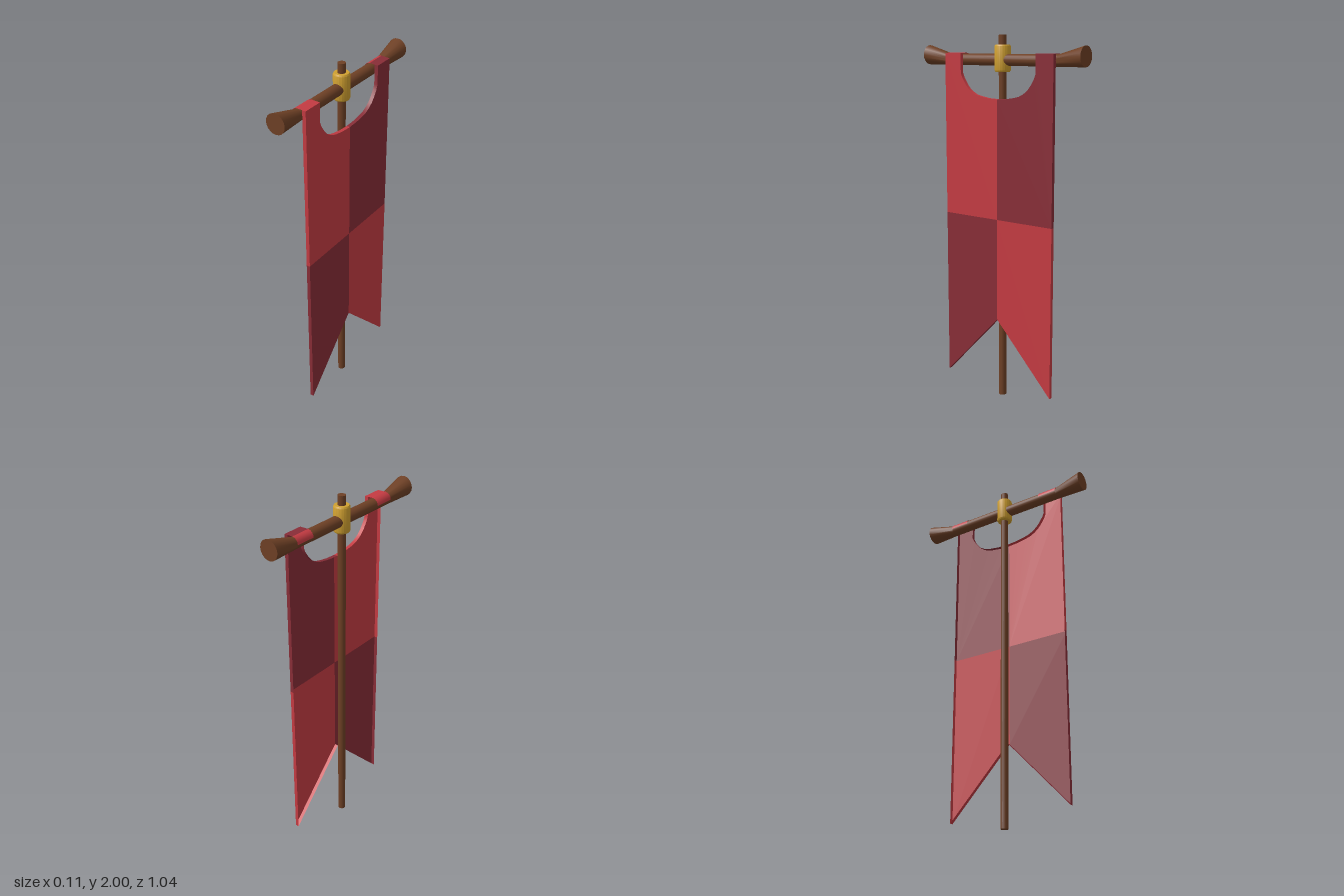
import * as THREE from 'three';
import { toCreasedNormals } from 'three/addons/utils/BufferGeometryUtils.js';

const material = (name, color, side = THREE.FrontSide) => {
  const m = new THREE.MeshStandardMaterial({ color, side });
  m.name = name;
  return m;
};

// Ribbon swept between two matching rows of points
function ribbon(rowA, rowB) {
  const position = [], index = [];
  rowA.forEach((a, i) => {
    position.push(...a, ...rowB[i]);
    if (i > 0) {
      const k = 2 * i;
      index.push(k - 2, k - 1, k, k, k - 1, k + 1);
    }
  });
  const g = new THREE.BufferGeometry();
  g.setAttribute('position', new THREE.Float32BufferAttribute(position, 3));
  g.setIndex(index);
  return toCreasedNormals(g, 0.6);
}

export function createModel() {
  const group = new THREE.Group();
  const wood = material('brown wood', 0x6e4025);
  const gold = material('gold', 0xd0a030);
  const red = material('red cloth', 0xc43b42, THREE.DoubleSide);
  const dark = material('dark red cloth', 0x882d37, THREE.DoubleSide);

  const add = (name, geometry, mat, parent = group) => {
    const mesh = new THREE.Mesh(geometry, mat);
    mesh.name = name;
    parent.add(mesh);
    return mesh;
  };

  // Upright pole
  add('pole', new THREE.CylinderGeometry(0.021, 0.021, 2, 16), wood).position.y = 1;

  // Crossbar with ends that flare upwards
  const barY = 1.872, barR = 0.031, endR = 0.053, flare = 0.16;
  const bar = add('crossbar', new THREE.CylinderGeometry(barR, barR, 0.72, 20, 1, true), wood);
  bar.rotation.x = Math.PI / 2;
  bar.position.y = barY;
  for (const s of [1, -1]) {
    const g = new THREE.CylinderGeometry(endR, barR, flare, 20);
    g.rotateX(s * Math.PI / 2);
    const p = g.attributes.position;
    for (let i = 0; i < p.count; i++) {
      const t = s * p.getZ(i) / flare + 0.5;
      p.setY(i, p.getY(i) + t * (endR - barR));
    }
    g.computeVertexNormals();
    add('crossbarEnd', toCreasedNormals(g, 0.7), wood).position.set(0, barY, s * (0.36 + flare / 2));
  }

  // Gold collar with bevelled rims
  const collar = [[0, 1.81], [0.038, 1.81], [0.043, 1.818], [0.043, 1.942], [0.038, 1.95], [0, 1.95]];
  add('collar', toCreasedNormals(
    new THREE.LatheGeometry(collar.map(([x, y]) => new THREE.Vector2(x, y)), 20), 0.6), gold);

  // Banner: four quarters of cloth with a turned-back hem, open at the back
  const banner = new THREE.Group();
  banner.name = 'banner';
  group.add(banner);
  const front = 0.05, hem = 0.03, half = 0.361, inner = 0.25, top = 1.905, mid = 1.02;
  const arch = [[inner, top], [inner, 1.8], [0.24, 1.775], [0.218, 1.742], [0.197, 1.718],
    [0.172, 1.7], [0.145, 1.687], [0.117, 1.68], [0.06, 1.671], [0, 1.668]];
  const quarters = [
    { name: 'upper', edge: [[half, mid], [half, top], ...arch], close: [[0, mid]] },
    { name: 'lower', edge: [[half, mid], [half, 0.08], [0, 0.455]], close: [[0, mid]] },
  ];
  for (const s of [1, -1]) {
    for (const { name, edge, close } of quarters) {
      const mat = (s > 0) === (name === 'upper') ? red : dark;
      const shape = new THREE.Shape([...edge, ...close].map(([u, y]) => new THREE.Vector2(-s * u, y)));
      const sheet = new THREE.ShapeGeometry(shape);
      sheet.rotateY(Math.PI / 2);
      add(name + 'Cloth', sheet, mat, banner).position.x = front;
      add(name + 'Hem', ribbon(
        edge.map(([u, y]) => [front, y, s * u]),
        edge.map(([u, y]) => [hem, y, s * u])), mat, banner);
    }

    // Tab folded over the crossbar
    const tab = (profile, mat) => add('tab', ribbon(
      profile.map(([x, y]) => [x, y, s * inner]),
      profile.map(([x, y]) => [x, y, s * half])), mat, banner);
    tab([[front, top], [0.025, top + 0.001], [0, top + 0.002]], s > 0 ? red : dark);
    tab([[0, top + 0.002], [-0.013, 1.904], [-0.024, 1.896], [-0.031, 1.884], [-0.033, 1.872]], red);
  }
  return group;
}
